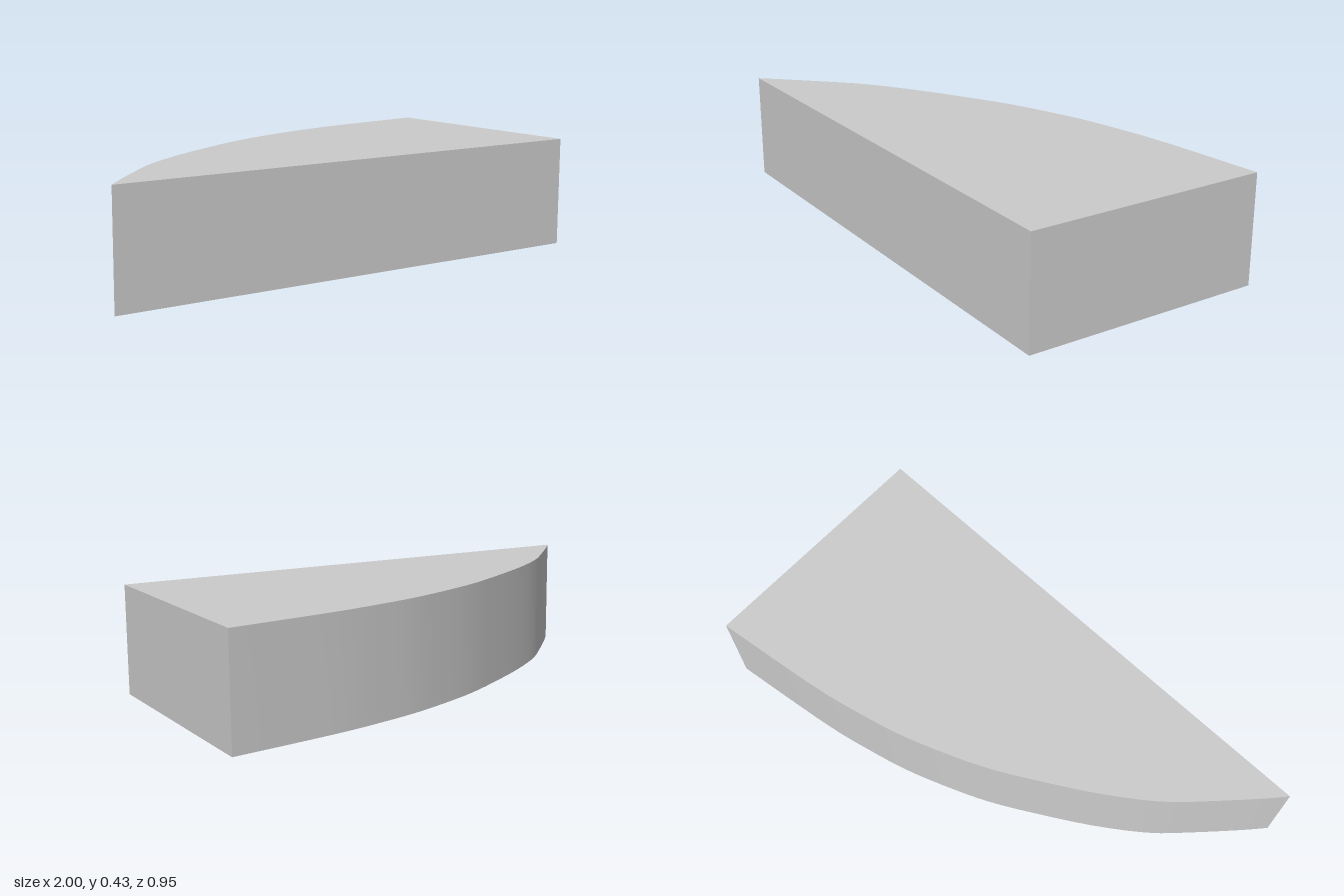
import * as THREE from 'three';
import { toCreasedNormals } from 'three/addons/utils/BufferGeometryUtils.js';

export function createModel() {
  const group = new THREE.Group();
  const height = 0.425;

  // Plan outline: straight front and end, curved back (shape y is -z)
  const backCurve = [
    [0.58, 0.417], [0.36, 0.372], [0.19, 0.327], [0, 0.257], [-0.13, 0.2], [-0.26, 0.13],
    [-0.48, 0], [-0.67, -0.135], [-0.8, -0.26], [-0.93, -0.395], [-1, -0.473],
  ].map(([x, y]) => new THREE.Vector2(x, y));

  const outline = new THREE.Shape();
  outline.moveTo(-1, -0.473);
  outline.lineTo(1, -0.473);
  outline.lineTo(1, 0.473);
  outline.splineThru(backCurve);

  // Upright slab with a smooth curved wall and sharp edges
  const geometry = new THREE.ExtrudeGeometry(outline, { depth: height, bevelEnabled: false, curveSegments: 3 });
  geometry.rotateX(-Math.PI / 2);

  const slab = new THREE.Mesh(
    toCreasedNormals(geometry, 0.5),
    new THREE.MeshStandardMaterial({ color: 0xcccccc }),
  );
  slab.name = 'curvedSlab';
  group.add(slab);
  return group;
}
